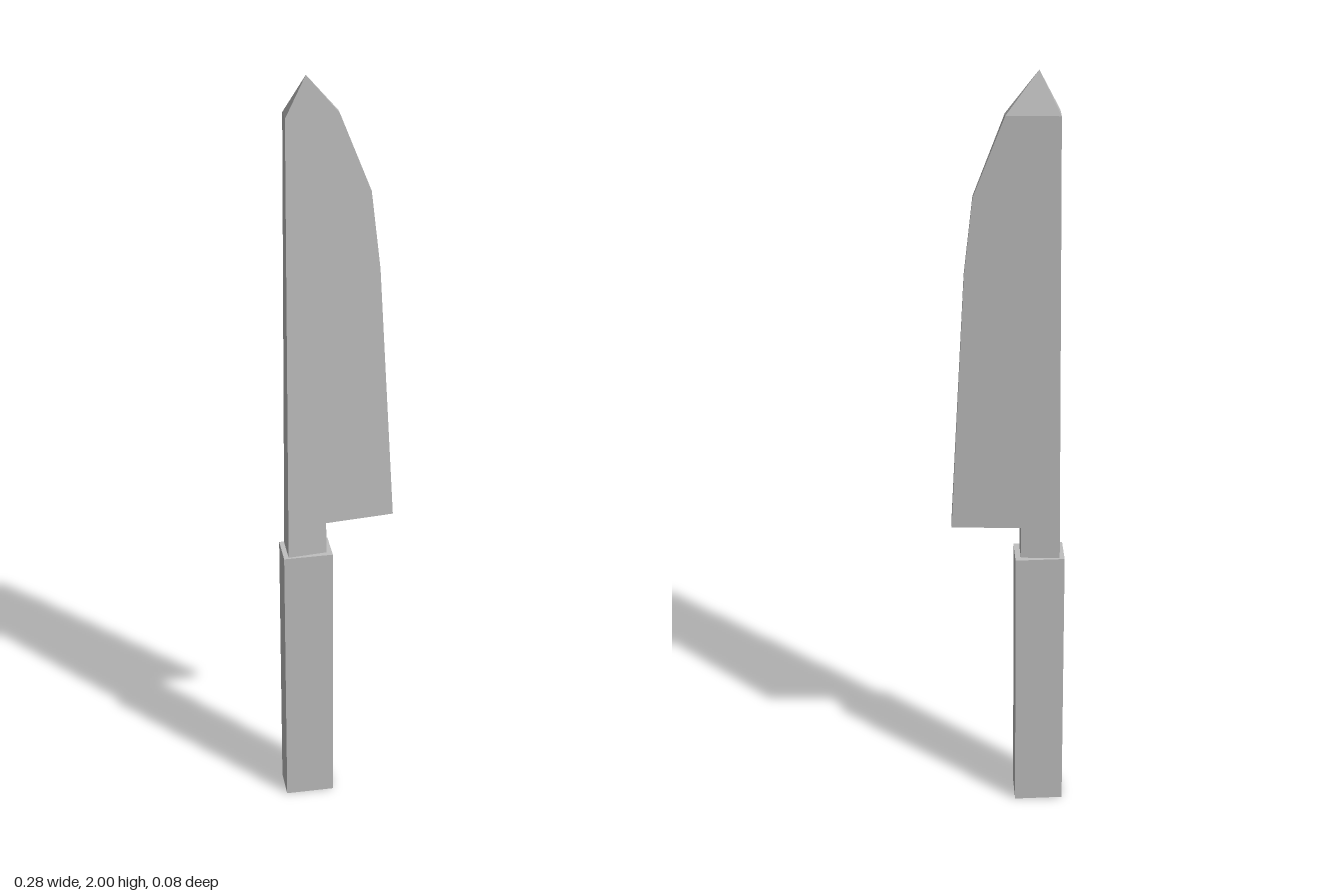
import * as THREE from 'three';
import { ConvexGeometry } from 'three/addons/geometries/ConvexGeometry.js';

// Blade faces are two planes, thinning toward the cutting edge and the tip
const frontZ = (x, y) => 0.035 - 0.0857 * (x + 0.128) - 0.0146 * (y - 0.735);
const backZ = (x, y) => -0.035 + 0.0857 * (x + 0.128) + 0.011 * (y - 0.735);

export function createModel() {
  const group = new THREE.Group();
  group.name = 'knife';
  const steel = new THREE.MeshStandardMaterial({ color: 0xc0c0c0, flatShading: true });
  steel.name = 'plain grey';

  const add = (name, geometry) => {
    const mesh = new THREE.Mesh(geometry, steel);
    mesh.name = name;
    group.add(mesh);
    return mesh;
  };

  // Square-cornered handle
  add('handle', new THREE.BoxGeometry(0.122, 0.735, 0.08)).position.set(-0.079, 0.3675, 0);

  // Blade with neck and heel: extruded outline, then tapered in thickness
  const spineTop = [-0.122, 1.9];
  const edgeTop = [0.005, 1.9];
  const outline = [
    [-0.128, 0.735], [-0.032, 0.735], [-0.032, 0.82], [0.138, 0.82],
    [0.102, 1.5], [0.08, 1.7], edgeTop, spineTop,
  ].map(([x, y]) => new THREE.Vector2(x, y));
  const blade = new THREE.ExtrudeGeometry(new THREE.Shape(outline), { depth: 1, bevelEnabled: false });
  const p = blade.attributes.position;
  for (let i = 0; i < p.count; i++) {
    const x = p.getX(i), y = p.getY(i);
    p.setZ(i, p.getZ(i) > 0.5 ? frontZ(x, y) : backZ(x, y));
  }
  blade.computeVertexNormals();
  add('blade', blade);

  // Tip: all corners meet at one point in the front plane
  const corners = [spineTop, edgeTop].flatMap(([x, y]) => [
    new THREE.Vector3(x, y, frontZ(x, y)),
    new THREE.Vector3(x, y, backZ(x, y)),
  ]);
  corners.push(new THREE.Vector3(-0.073, 2, frontZ(-0.073, 2)));
  add('bladeTip', new ConvexGeometry(corners));

  return group;
}
